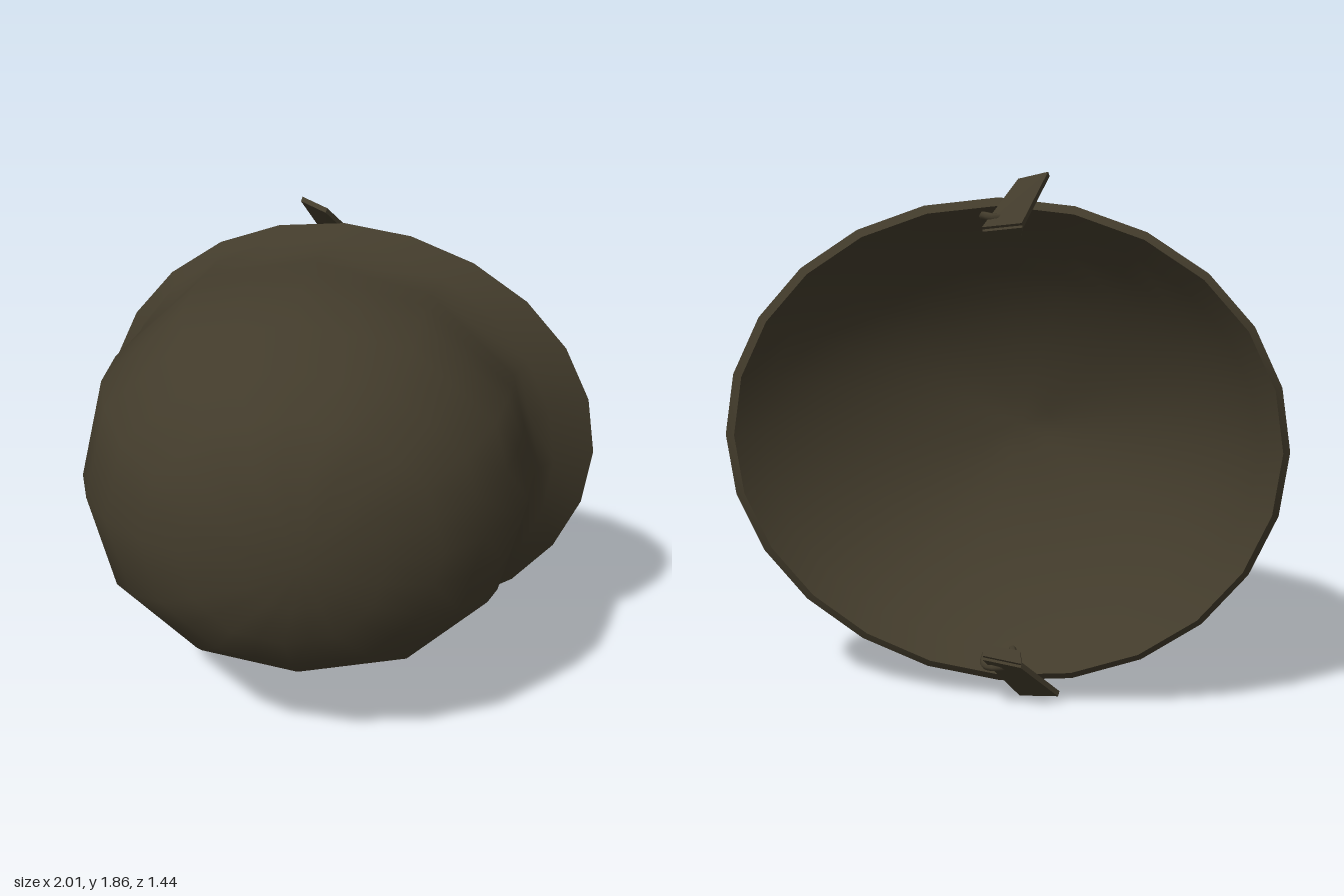
import * as THREE from 'three';
import { mergeVertices } from 'three/addons/utils/BufferGeometryUtils.js';
import { ConvexGeometry } from 'three/addons/geometries/ConvexGeometry.js';

const SEG = 24, MID = 0.925;

// Shell stations from rim to crown: back x, back z, brim x, brim z, half height, rim sweep
const OUTER = [
  [-0.96, -0.695, 1.0, -0.22, 0.855, 1],
  [-0.91, -0.64, 0.83, -0.13, 0.81, 0.9],
  [-0.895, -0.56, 0.77, -0.07, 0.785, 0.8],
  [-0.925, -0.43, 0.74, -0.01, 0.78, 0.6],
  [-0.965, -0.28, 0.72, 0.1, 0.78, 0.3],
  [-0.99, -0.04, 0.69, 0.2, 0.765, 0],
  [-0.95, 0.16, 0.63, 0.34, 0.71, 0],
  [-0.86, 0.34, 0.5, 0.5, 0.6, 0],
  [-0.72, 0.5, 0.34, 0.62, 0.485, 0],
  [-0.57, 0.61, 0.14, 0.685, 0.34, 0],
  [-0.36, 0.68, 0.0, 0.705, 0.18, 0],
  [-0.15, 0.715, -0.15, 0.715, 0, 0],
];
const INNER_RIM = [-0.93, -0.721, 0.967, -0.246, 0.827, 1];

// One closed tilted oval; above the flare it has half as many sides
function ring([lx, lz, rx, rz, h, sweep], station) {
  const points = Array.from({ length: SEG }, (_, j) => {
    const t = (j / SEG) * Math.PI * 2;
    const out = station > 1 && j % 6 !== 0 ? 1.02 : 1;
    const c = Math.cos(t) * out, n = Math.sin(t) * out;
    const x = (lx + rx) / 2 + (c * (rx - lx)) / 2;
    const z = (lz + rz) / 2 + (c * (rz - lz)) / 2 + sweep * n * n * (0.085 * c - 0.035);
    return [x, MID + h * n, z];
  });
  if (station < 2) return points;
  return points.map((p, j) => (j % 2 === 0 ? p
    : p.map((_, k) => (points[j - 1][k] + points[(j + 1) % SEG][k]) / 2)));
}

// Shallow rounded hollow that closes the inside, sunk along the tilt of the opening
function bowlRings(rim) {
  const centre = [0.0185, MID, -0.484], axis = [-0.235, 0, 0.972];
  const depth = 0.45, edge = 0.925, steps = 9;
  return Array.from({ length: steps + 1 }, (_, i) => {
    const a = edge * (1 - i / steps);
    const s = Math.sin(a) / Math.sin(edge);
    const d = (depth * (Math.cos(a) - Math.cos(edge))) / (1 - Math.cos(edge));
    return rim.map((p) => p.map((q, k) => centre[k] + (q - centre[k]) * s + axis[k] * d));
  });
}

function faces(points, index) {
  const g = new THREE.BufferGeometry();
  g.setAttribute('position', new THREE.Float32BufferAttribute(points.flat(), 3));
  g.setIndex(index);
  return g;
}

// Skin a list of closed rings
function loft(rings, flip = false) {
  const index = [];
  for (let i = 0; i < rings.length - 1; i++) {
    for (let j = 0; j < SEG; j++) {
      const k = (j + 1) % SEG;
      const a = i * SEG + j, b = i * SEG + k, c = b + SEG, d = a + SEG;
      index.push(...(flip ? [a, c, b, a, d, c] : [a, b, c, a, c, d]));
    }
  }
  return mergeVertices(faces(rings.flat(), index), 1e-5);
}

// Thin slab between two edges
function slab(a, b, c, d, thick) {
  const n = b.clone().sub(a).cross(c.clone().sub(a)).normalize().multiplyScalar(thick / 2);
  return new ConvexGeometry([a, b, c, d].flatMap((p) => [p.clone().add(n), p.clone().sub(n)]));
}

export function createModel() {
  const group = new THREE.Group();
  const olive = new THREE.MeshStandardMaterial({ color: 0x423b2b });
  olive.name = 'olive drab';
  const rust = new THREE.MeshStandardMaterial({ color: 0xae7446 });
  rust.name = 'rust orange';

  const add = (name, geometry, material, parent = group) => {
    const mesh = new THREE.Mesh(geometry, material);
    mesh.name = name;
    parent.add(mesh);
  };
  const addSmooth = (name, geometry, material) => {
    geometry.computeVertexNormals();
    add(name, geometry, material);
  };

  // Helmet shell, inner bowl and rim edge
  const outer = OUTER.map(ring), innerRim = ring(INNER_RIM, 0);
  addSmooth('outerShell', loft(outer), olive);
  addSmooth('innerBowl', loft(bowlRings(innerRim), true), olive);
  addSmooth('rimEdge', loft([innerRim, outer[0]]), olive);

  // Folded backing plate on the back, with a diamond on it
  const plate = (v, z, lift) => [
    -0.974 - (z + 0.235) * 0.13 + Math.abs(v) * 0.082 - lift, MID + v * 0.365, z];
  const z0 = -0.435, z1 = -0.035, zm = (z0 + z1) / 2;
  addSmooth('patchBacking', faces(
    [-1, 0, 1].flatMap((v) => [plate(v, z0, 0), plate(v, z1, 0)]),
    [0, 1, 3, 0, 3, 2, 2, 3, 5, 2, 5, 4]), olive);
  addSmooth('patchDiamond', faces(
    [plate(-0.97, zm, 0.005), plate(0, z0, 0.005), plate(0, z1, 0.005), plate(0.97, zm, 0.005)],
    [0, 2, 1, 1, 2, 3]), rust);

  // Folded strap clip and wire loop on each side of the rim
  for (const upper of [true, false]) {
    const v = (x, y, z) => new THREE.Vector3(x, upper ? y : 1.868 - y, z);
    const clip = new THREE.Group();
    clip.name = upper ? 'upperStrapClip' : 'lowerStrapClip';
    const s1 = v(-0.05, 1.69, -0.66), s2 = v(0.08, 1.675, -0.61);
    const h1 = v(-0.05, 1.655, -0.62), h2 = v(0.08, 1.645, -0.575);
    const e1 = upper ? v(-0.145, 1.858, -0.56) : v(-0.19, 1.83, -0.56);
    const e2 = upper ? v(-0.05, 1.835, -0.475) : v(-0.06, 1.858, -0.465);
    add('strapFlap', slab(s1, s2, e2, e1, 0.02), olive, clip);
    add('strapFold', slab(s1, s2, h2, h1, 0.02), olive, clip);
    const path = new THREE.CatmullRomCurve3([
      v(0.06, 1.7, -0.46), v(0.075, 1.72, -0.54), v(0.045, 1.715, -0.6),
      v(-0.03, 1.71, -0.58), v(-0.03, 1.69, -0.47)]);
    add('wireLoop', new THREE.TubeGeometry(path, 16, 0.014, 6), olive, clip);
    group.add(clip);
  }
  return group;
}
